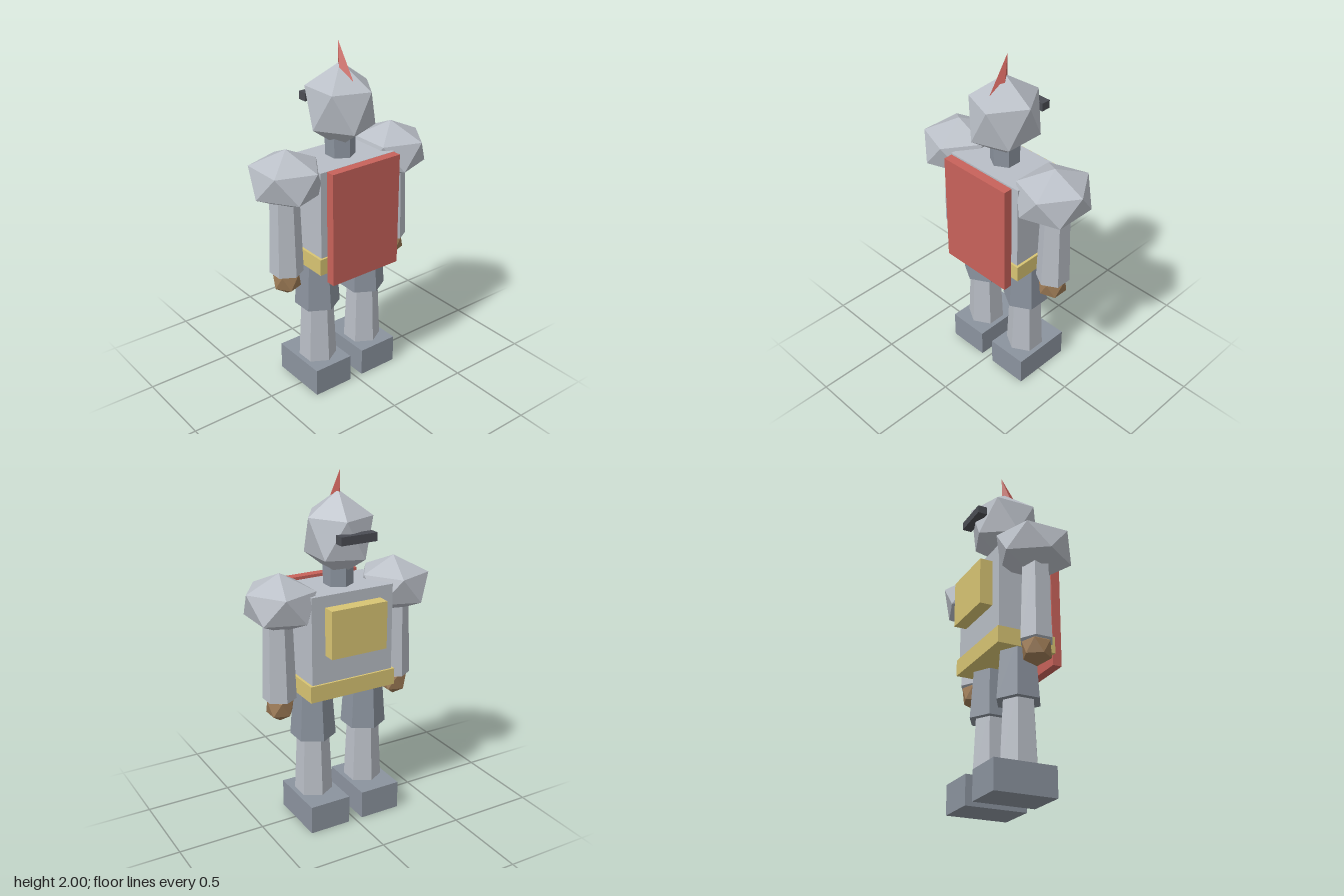
import * as THREE from 'three';

const COLORS = {
  steel: 0xb9bec6, plate: 0x8b939e, cloth: 0xc8625a,
  gold: 0xd8c473, leather: 0x9c7a55, visor: 0x4b4d54,
};
const materials = {};
for (const [key, color] of Object.entries(COLORS)) {
  materials[key] = new THREE.MeshStandardMaterial({ color, flatShading: true });
}

function add(parent, name, geometry, material, x, y, z) {
  const mesh = new THREE.Mesh(geometry, materials[material]);
  mesh.name = name;
  mesh.position.set(x, y, z);
  parent.add(mesh);
  return mesh;
}

// Box given by its lower and upper corners
function box(parent, name, material, [x0, y0, z0], [x1, y1, z1]) {
  return add(parent, name, new THREE.BoxGeometry(x1 - x0, y1 - y0, z1 - z0), material,
    (x0 + x1) / 2, (y0 + y1) / 2, (z0 + z1) / 2);
}

// Upright six-sided tapered limb
function limb(parent, name, material, x, yBottom, yTop, rBottom, rTop) {
  return add(parent, name, new THREE.CylinderGeometry(rTop, rBottom, yTop - yBottom, 6),
    material, x, (yBottom + yTop) / 2, 0);
}

// Stretched icosahedron standing on one of its points
function faceted(parent, name, material, x, y, [rx, ry, rz]) {
  const geometry = new THREE.IcosahedronGeometry(1, 0);
  geometry.rotateZ(-Math.atan(2 / (1 + Math.sqrt(5))));
  geometry.scale(rx, ry, rz);
  return add(parent, name, geometry, material, x, y, 0);
}

export function createModel() {
  const model = new THREE.Group();
  model.name = 'knight';

  // Body
  box(model, 'torso', 'steel', [-0.25, 0.8, -0.158], [0.25, 1.38, 0.158]);
  box(model, 'belt', 'gold', [-0.265, 0.79, -0.17], [0.265, 0.885, 0.17]);
  box(model, 'chestPlate', 'gold', [-0.17, 1.045, -0.232], [0.17, 1.315, -0.152]);
  box(model, 'cape', 'cloth', [-0.225, 0.74, 0.178], [0.225, 1.39, 0.23]);

  // Head
  limb(model, 'neck', 'plate', 0, 1.36, 1.5, 0.083, 0.083);
  faceted(model, 'helmet', 'steel', 0, 1.655, [0.201, 0.235, 0.223]);
  box(model, 'visor', 'visor', [-0.108, 1.65, -0.22], [0.108, 1.696, -0.165]);

  // Plume: flattened four-sided spike leaning toward the visor
  const spike = new THREE.ConeGeometry(1, 0.22, 4);
  spike.scale(0.038, 1, 0.064);
  const plume = add(model, 'plume', spike, 'cloth', 0, 1.895, 0.014);
  plume.rotation.x = -0.305;

  // Paired limbs
  for (const side of [-1, 1]) {
    const prefix = side > 0 ? 'left' : 'right';
    const armX = side * 0.37;
    const legX = side * 0.165;

    faceted(model, prefix + 'Shoulder', 'steel', side * 0.355, 1.327, [0.214, 0.163, 0.231]);
    limb(model, prefix + 'Arm', 'steel', armX, 0.782, 1.3, 0.094, 0.077);
    faceted(model, prefix + 'Hand', 'leather', armX, 0.735, [0.085, 0.09, 0.088]);

    limb(model, prefix + 'Thigh', 'plate', legX, 0.517, 0.83, 0.129, 0.106);
    limb(model, prefix + 'Shin', 'steel', legX, 0.15, 0.56, 0.109, 0.09);
    box(model, prefix + 'Foot', 'plate',
      [legX - 0.122, 0, -0.202], [legX + 0.122, 0.165, 0.153]);
  }
  return model;
}
